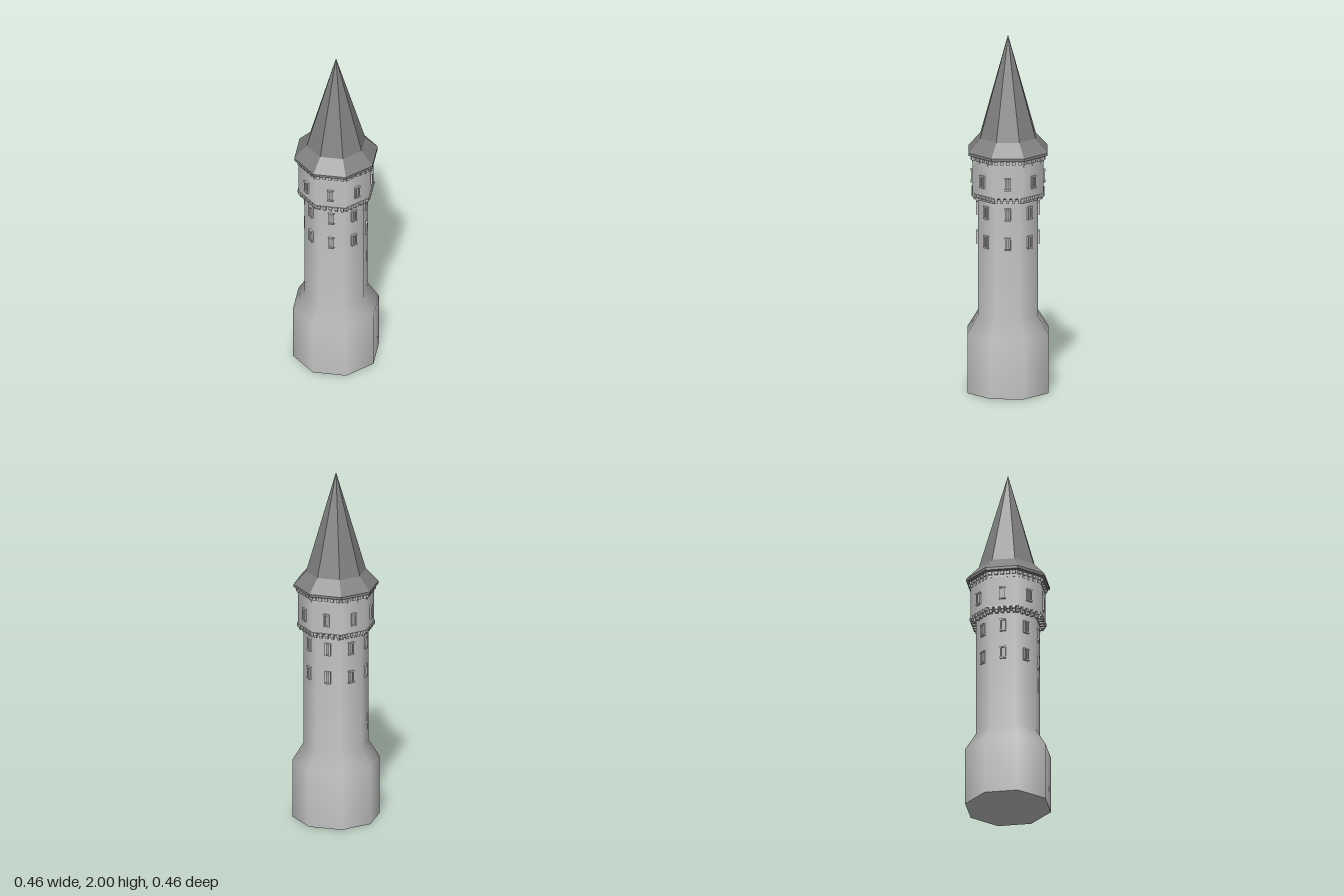
import * as THREE from 'three';

const SIDES = 8;
const TURN = -17 * Math.PI / 180; // angle of the first corner
const STEP = Math.PI * 2 / SIDES;
const APOTHEM = Math.cos(STEP / 2);

export function createModel() {
  const stone = new THREE.MeshStandardMaterial({ color: 0xc4c4c4 });
  stone.name = 'pale stone';
  const slate = new THREE.MeshStandardMaterial({ color: 0x808080, flatShading: true });
  slate.name = 'grey slate';
  const tower = new THREE.Group();
  tower.name = 'tower';

  const add = (parent, name, geometry, material, x = 0, y = 0, z = 0) => {
    const mesh = new THREE.Mesh(geometry, material);
    mesh.name = name;
    mesh.position.set(x, y, z);
    parent.add(mesh);
    return mesh;
  };
  // Octagonal shell through [radius, height] points
  const octagon = (name, points, material) => add(tower, name,
    new THREE.LatheGeometry(points.map(p => new THREE.Vector2(...p)), SIDES, TURN), material);
  // Flat octagonal disc facing up or down
  const disc = (name, r, y, down) => {
    const mesh = add(tower, name, new THREE.CircleGeometry(r, SIDES), stone, 0, y, 0);
    mesh.rotation.set(down ? Math.PI / 2 : -Math.PI / 2, 0, 0);
    mesh.geometry.rotateZ((down ? 1 : -1) * (Math.PI / 2 - TURN) * (down ? 1 : -1));
    if (!down) mesh.geometry.rotateZ(-Math.PI + 2 * TURN);
  };

  // Walls: flared foot, slim shaft and wider gallery
  octagon('footAndShaft', [[0.24, 0], [0.24, 0.33], [0.178, 0.43], [0.178, 1.12]], stone);
  disc('footUnderside', 0.24, 0, true);
  octagon('galleryUnderside', [[0.17, 1.105], [0.21, 1.125]], stone);
  octagon('galleryWall', [[0.21, 1.125], [0.21, 1.35]], stone);

  // Roof: flared eaves, tall spire and thin soffit
  octagon('eaveSoffit', [[0.19, 1.34], [0.234, 1.34]], slate);
  octagon('eaveEdge', [[0.234, 1.34], [0.234, 1.355]], slate);
  octagon('flaredEaves', [[0.234, 1.355], [0.164, 1.43]], slate);
  octagon('spire', [[0.164, 1.43], [0, 2]], slate);

  // Window: raised stone surround with a thin pane
  const addWindow = (side, y, distance) => {
    const window = new THREE.Group();
    window.name = 'window';
    window.position.set(0, y, distance);
    side.add(window);
    add(window, 'pane', new THREE.BoxGeometry(0.02, 0.058, 0.004), slate, 0, 0, 0.001);
    for (const s of [-1, 1]) {
      add(window, 'jamb', new THREE.BoxGeometry(0.007, 0.062, 0.014), stone, s * 0.0125, 0, 0.002);
      add(window, s > 0 ? 'lintel' : 'sill',
        new THREE.BoxGeometry(0.034, 0.008, 0.018), stone, 0, s * 0.032, 0.002);
    }
    add(window, 'mullion', new THREE.BoxGeometry(0.004, 0.058, 0.008), stone, 0, 0, 0.002);
  };

  // Row of stepped corbels along one side
  const addCorbels = (side, count, radius, y) => {
    const length = 2 * radius * Math.sin(STEP / 2);
    for (let i = 0; i < count; i++) {
      const x = ((i + 0.5) / count - 0.5) * length;
      add(side, 'corbel', new THREE.BoxGeometry(0.018, 0.018, 0.026), stone, x, y, radius * APOTHEM - 0.007);
      add(side, 'corbelFoot', new THREE.BoxGeometry(0.014, 0.016, 0.018), stone, x, y - 0.016, radius * APOTHEM - 0.012);
    }
  };

  for (let i = 0; i < SIDES; i++) {
    const side = new THREE.Group();
    side.name = 'sideDetails';
    side.rotation.y = TURN + (i + 0.5) * STEP;
    tower.add(side);
    addWindow(side, 0.86, 0.178 * APOTHEM);
    addWindow(side, 1.025, 0.178 * APOTHEM);
    addWindow(side, 1.205, 0.21 * APOTHEM);
    addCorbels(side, 5, 0.21, 1.118);
    addCorbels(side, 5, 0.216, 1.325);
  }
  return tower;
}
